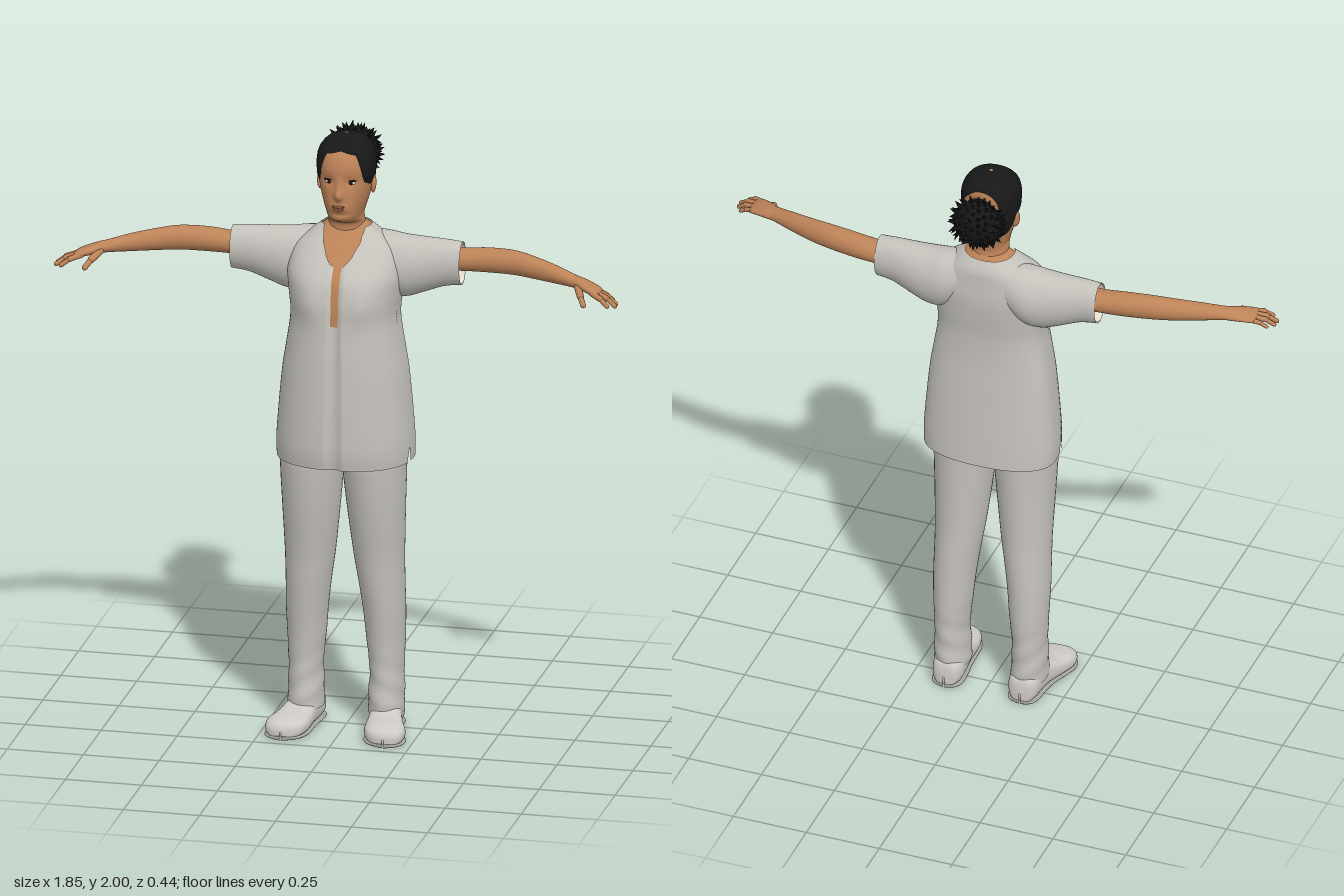
import * as THREE from 'three';

const mat = (name, color, side = THREE.FrontSide) => {
  const m = new THREE.MeshStandardMaterial({ color, side });
  m.name = name;
  return m;
};
const M = {
  skin: mat('skin', 0xbd8358), hair: mat('hair', 0x181818), cloth: mat('cloth', 0xc5c2bc, THREE.DoubleSide),
  shoe: mat('shoe', 0xcdcac6), sole: mat('sole', 0xa5a29e), lining: mat('lining', 0xece3d0, THREE.DoubleSide),
  lips: mat('lips', 0x95593f), eyeWhite: mat('eye white', 0xe8e4de), iris: mat('dark iris', 0x1c120d), tie: mat('hair tie', 0xa8744a),
};

const power = (v, p) => Math.sign(v) * Math.abs(v) ** p;
const bump = (d, s) => Math.exp(-(d * d) / (s * s));

// Smooth interpolation between the rows of a profile
function sample(rows, t) {
  const last = rows.length - 1, i = Math.min(Math.floor(t), last - 1), f = t - i;
  const [a, b, c, d] = [-1, 0, 1, 2].map(k => rows[Math.min(Math.max(i + k, 0), last)]);
  return b.map((v, k) => v + 0.5 * f * (c[k] - a[k] + f * (2 * a[k] - 5 * v + 4 * c[k] - d[k]
    + f * (3 * (v - c[k]) + d[k] - a[k]))));
}
// Linear lookup in a list of [x, value] pairs
function lookup(table, x) {
  let i = 0;
  while (i < table.length - 2 && x > table[i + 1][0]) i++;
  const [[x0, y0], [x1, y1]] = [table[i], table[i + 1]];
  return y0 + (y1 - y0) * Math.min(Math.max((x - x0) / (x1 - x0), 0), 1);
}
// Row position for a given height
const rowAt = (rows, y) => lookup(rows.map((r, i) => [r[0], i]), y);

// Skin a run of closed cross-sections; range(angle) trims each column
function loft(rows, n, m, point, range = () => [0, rows.length - 1]) {
  const pos = [], index = [];
  for (let j = 0; j <= m; j++) for (let i = 0; i < n; i++) {
    const a = (i / n) * Math.PI * 2, [t0, t1] = range(a > Math.PI ? a - 2 * Math.PI : a);
    pos.push(...point(sample(rows, t0 + (t1 - t0) * j / m), a, j / m));
    if (j < m) {
      const p = j * n + i, q = j * n + (i + 1) % n;
      index.push(p, q, p + n, q, q + n, p + n);
    }
  }
  const g = new THREE.BufferGeometry();
  g.setAttribute('position', new THREE.Float32BufferAttribute(pos, 3));
  g.setIndex(index);
  g.computeVertexNormals();
  return g;
}
function mirrored(g) {
  const c = g.clone().scale(-1, 1, 1), ix = c.index.array;
  for (let i = 0; i < ix.length; i += 3) [ix[i], ix[i + 1]] = [ix[i + 1], ix[i]];
  return c;
}

// Cross-sections: [y, half width, front z, back z], and [x, centre y, centre z, ry, rz]
const bodyRing = (p, grow = 0) => ([y, rx, zf, zb], a) => {
  const c = power(Math.cos(a), 2 / p);
  return [(rx + grow) * power(Math.sin(a), 2 / p), y, c > 0 ? c * (zf + grow) : -c * (zb - grow)];
};
const limbRing = ([x, cy, cz, ry, rz], a) => [x, cy + ry * Math.cos(a), cz + rz * Math.sin(a)];
const legRing = ([y, cx, cz, rx, rz], a) => {
  const fold = 1 + 0.03 * Math.sin(y * 75 + 2 * a) * bump(y - 0.14, 0.1);
  return [cx + rx * fold * Math.sin(a), y, cz + rz * fold * Math.cos(a)];
};
const shoeRing = ([z, cx, h, w], a) =>
  [cx - w * power(Math.sin(a), 0.8), h / 2 + (h / 2) * power(Math.cos(a), 0.75), z];

const TORSO = [[0.92, 0.222, 0.2, -0.12], [1, 0.222, 0.208, -0.115], [1.2, 0.205, 0.203, -0.1], [1.3, 0.19, 0.198, -0.093],
  [1.4, 0.176, 0.19, -0.092], [1.48, 0.183, 0.184, -0.1], [1.55, 0.188, 0.165, -0.105], [1.62, 0.168, 0.108, -0.1],
  [1.66, 0.125, 0.072, -0.095], [1.695, 0.08, 0.042, -0.075]];
const SLEEVE = [[0.06, 1.6, -0.03, 0.072, 0.06], [0.13, 1.57, -0.025, 0.1, 0.08], [0.19, 1.56, -0.02, 0.103, 0.078],
  [0.25, 1.568, -0.018, 0.092, 0.068], [0.32, 1.58, -0.014, 0.078, 0.055], [0.378, 1.582, -0.012, 0.072, 0.05]];
const ARM = [[0.3, 1.595, -0.015, 0.042, 0.042], [0.38, 1.595, -0.015, 0.037, 0.042], [0.46, 1.6, -0.012, 0.04, 0.04],
  [0.55, 1.602, 0, 0.04, 0.037], [0.62, 1.597, 0.02, 0.036, 0.035], [0.7, 1.59, 0.05, 0.029, 0.031],
  [0.77, 1.582, 0.08, 0.02, 0.029], [0.8, 1.578, 0.095, 0.018, 0.036], [0.84, 1.57, 0.115, 0.014, 0.041],
  [0.862, 1.563, 0.122, 0.01, 0.034], [0.872, 1.56, 0.124, 0.001, 0.002]];
const LEG = [[0.06, 0.132, 0.005, 0.057, 0.083], [0.1, 0.132, 0.005, 0.058, 0.08], [0.2, 0.133, 0.002, 0.055, 0.076],
  [0.3, 0.13, 0.003, 0.062, 0.08], [0.4, 0.127, 0.01, 0.068, 0.086], [0.5, 0.12, 0.018, 0.074, 0.092],
  [0.6, 0.113, 0.026, 0.082, 0.096], [0.75, 0.107, 0.038, 0.093, 0.11], [0.88, 0.103, 0.045, 0.102, 0.12],
  [0.95, 0.1, 0.045, 0.105, 0.122], [1.1, 0.09, 0.045, 0.09, 0.11]];
const SHOE = [[-0.086, 0.13, 0.04, 0.003], [-0.078, 0.13, 0.085, 0.035], [-0.05, 0.13, 0.1, 0.05], [0, 0.133, 0.102, 0.052],
  [0.05, 0.14, 0.092, 0.053], [0.1, 0.15, 0.074, 0.061], [0.15, 0.16, 0.067, 0.068], [0.19, 0.165, 0.059, 0.058],
  [0.21, 0.168, 0.045, 0.034], [0.217, 0.168, 0.028, 0.003]];
const HEAD = [[1.6, 0.066, 0.06, -0.068], [1.66, 0.061, 0.046, -0.068], [1.705, 0.059, 0.046, -0.06], [1.72, 0.057, 0.075, -0.058],
  [1.735, 0.056, 0.106, -0.06], [1.755, 0.062, 0.115, -0.064], [1.79, 0.073, 0.116, -0.074], [1.83, 0.083, 0.112, -0.085],
  [1.87, 0.088, 0.108, -0.092], [1.91, 0.09, 0.107, -0.094], [1.95, 0.082, 0.091, -0.086], [1.98, 0.056, 0.056, -0.06],
  [1.993, 0.026, 0.026, -0.03], [1.996, 0.001, 0.001, -0.001]];
// Limits by angle from the front: neckline and hairline heights
const NECKLINE = [[0, 1.575], [0.14, 1.6], [0.25, 1.63], [0.52, 1.67], [0.95, 1.695]];
const HAIRLINE = [[0, 1.957], [0.6, 1.945], [0.95, 1.85], [1.4, 1.83], [1.55, 1.84], [1.9, 1.785], [3.14, 1.757]];

function headPoint(row, a) {
  const p = bodyRing(2.15)(row, a), [x, y] = p;
  if (Math.cos(a) > 0) {
    p[2] += 0.022 * bump(x, 0.014) * bump(y - 1.822, 0.017) + 0.01 * bump(x, 0.01) * bump(y - 1.85, 0.025) // nose
      - 0.007 * bump(Math.abs(x) - 0.036, 0.02) * bump(y - 1.863, 0.016)                                  // eye sockets
      + 0.007 * bump(x, 0.025) * bump(y - 1.782, 0.014) - 0.005 * bump(x, 0.03) * bump(y - 1.757, 0.008); // mouth
  }
  return p;
}

export function createModel() {
  const model = new THREE.Group();
  const add = (name, geo, material, pos = [0, 0, 0], scale = [1, 1, 1], parent = model) => {
    const mesh = new THREE.Mesh(geo, material);
    mesh.name = name;
    mesh.position.set(...pos);
    mesh.scale.set(...scale);
    parent.add(mesh);
    return mesh;
  };
  const pair = (name, geo, material) => {
    add('left' + name, geo, material);
    add('right' + name, mirrored(geo), material);
  };
  const ball = new THREE.SphereGeometry(1, 24, 16);

  // Tunic: V neck, recessed front opening and small side slits
  add('tunic', loft(TORSO, 160, 56, (row, a) => {
    const p = bodyRing(2.35)(row, a), [x, y] = p;
    if (p[2] > 0) {
      p[2] += 0.012 * bump(Math.abs(x) - 0.09, 0.05) * bump(y - 1.47, 0.07);
      if (Math.abs(x) < 0.017) p[2] -= 0.01;
    }
    return p;
  }, a => [0.9 * bump(Math.abs(a) - 1.36, 0.035), rowAt(TORSO, lookup(NECKLINE, Math.abs(a)))]), M.cloth);
  pair('Sleeve', loft(SLEEVE, 40, 24, limbRing), M.cloth);
  pair('SleeveLining', loft([[0.33, 1.581, -0.013, 0.069, 0.048], [0.376, 1.582, -0.012, 0.069, 0.047]], 40, 2, limbRing), M.lining);

  // Chest under the neckline
  const chest = [...TORSO.slice(4).map(([y, rx, f, b]) => [y, rx - 0.008, f - 0.008, b + 0.008]), [1.712, 0.05, 0.036, -0.05]];
  add('chest', loft(chest, 64, 30, bodyRing(2.35)), M.skin);

  // Legs and shoes
  pair('TrouserLeg', loft(LEG, 40, 60, legRing), M.cloth);
  pair('Shoe', loft(SHOE, 32, 40, shoeRing), M.shoe);
  pair('Sole', loft(SHOE.map(([z, cx, h, w]) => [z * 1.01, cx, Math.min(h, 0.014), w + 0.002]), 32, 40, shoeRing), M.sole);

  // Arms and hands
  pair('Arm', loft(ARM, 32, 50, limbRing), M.skin);
  const bone = (a, b, r) => {
    const d = b.clone().sub(a), g = new THREE.CapsuleGeometry(r, d.length(), 5, 10);
    g.applyQuaternion(new THREE.Quaternion().setFromUnitVectors(new THREE.Vector3(0, 1, 0), d.clone().normalize()));
    return g.translate(...a.clone().add(b).multiplyScalar(0.5).toArray());
  };
  const digits = {
    Thumb: [[0.785, 1.573, 0.11], [0.805, 1.557, 0.155], [0.82, 1.538, 0.182], 0.0115],
    IndexFinger: [[0.84, 1.567, 0.145], [0.873, 1.558, 0.167], [0.898, 1.54, 0.18], 0.0095],
    MiddleFinger: [[0.85, 1.567, 0.131], [0.89, 1.556, 0.149], [0.919, 1.536, 0.16], 0.0095],
    RingFinger: [[0.853, 1.566, 0.114], [0.892, 1.555, 0.129], [0.918, 1.536, 0.138], 0.009],
    LittleFinger: [[0.85, 1.563, 0.097], [0.88, 1.555, 0.106], [0.902, 1.541, 0.111], 0.008],
  };
  for (const [name, [a, b, c, r]] of Object.entries(digits)) {
    const [p, q, s] = [a, b, c].map(v => new THREE.Vector3(...v));
    pair(name + 'Base', bone(p, q, r), M.skin);
    pair(name + 'Tip', bone(q, s, r * 0.8), M.skin);
  }

  // Head, face and ears
  add('headAndNeck', loft(HEAD, 96, 100, headPoint), M.skin);
  add('upperLip', ball, M.lips, [0, 1.786, 0.119], [0.021, 0.0045, 0.006]);
  add('lowerLip', ball, M.lips, [0, 1.777, 0.119], [0.018, 0.005, 0.006]);
  for (const [side, s] of [['left', 1], ['right', -1]]) {
    add(side + 'Eye', ball, M.eyeWhite, [s * 0.036, 1.862, 0.09], [0.014, 0.0065, 0.009]);
    add(side + 'Iris', ball, M.iris, [s * 0.036, 1.862, 0.0965], [0.006, 0.006, 0.004]);
    add(side + 'Lashes', ball, M.iris, [s * 0.037, 1.869, 0.0915], [0.016, 0.0022, 0.009]);
    add(side + 'Ear', ball, M.skin, [s * 0.086, 1.835, -0.004], [0.01, 0.032, 0.018]).rotation.set(-0.15, s * 0.3, 0);
  }

  // Hair cap following the skull
  add('hairCap', loft(HEAD, 96, 40, (row, a, v) => {
    const p = bodyRing(2.15, 0.007 * Math.min(1, v * 8) - 0.002)(row, a);
    p[1] += 0.004 * v;
    return p;
  }, a => [rowAt(HEAD, lookup(HAIRLINE, Math.abs(a))), HEAD.length - 1]), M.hair);

  // Gathered curls at the back, held by a tie
  const bun = new THREE.Group();
  bun.name = 'bun';
  bun.position.set(-0.01, 1.892, -0.148);
  model.add(bun);
  add('hairTie', new THREE.TorusGeometry(0.052, 0.011, 10, 32), M.tie, [0, 1.908, -0.093]);
  add('bunCore', ball, M.hair, [0, 0, 0], [0.082, 0.078, 0.052], bun);
  let seed = 7;
  const rand = () => (seed = (seed * 16807) % 2147483647) / 2147483647;
  const tuft = new THREE.ConeGeometry(0.011, 0.045, 6).translate(0, 0.012, 0);
  for (let i = 0; i < 130; i++) {
    const z = 1 - 2 * (i + 0.5) / 130, a = i * 2.39996, r = Math.sqrt(1 - z * z);
    const dir = new THREE.Vector3(r * Math.cos(a), r * Math.sin(a), z);
    const lock = add('curl', tuft, M.hair, [dir.x * 0.078, dir.y * 0.074, dir.z * 0.05], [1, 0.4 + 0.45 * rand(), 1], bun);
    dir.add(new THREE.Vector3(rand() - 0.5, rand() - 0.5, rand() - 0.8)).normalize();
    lock.quaternion.setFromUnitVectors(new THREE.Vector3(0, 1, 0), dir);
  }
  return model;
}
